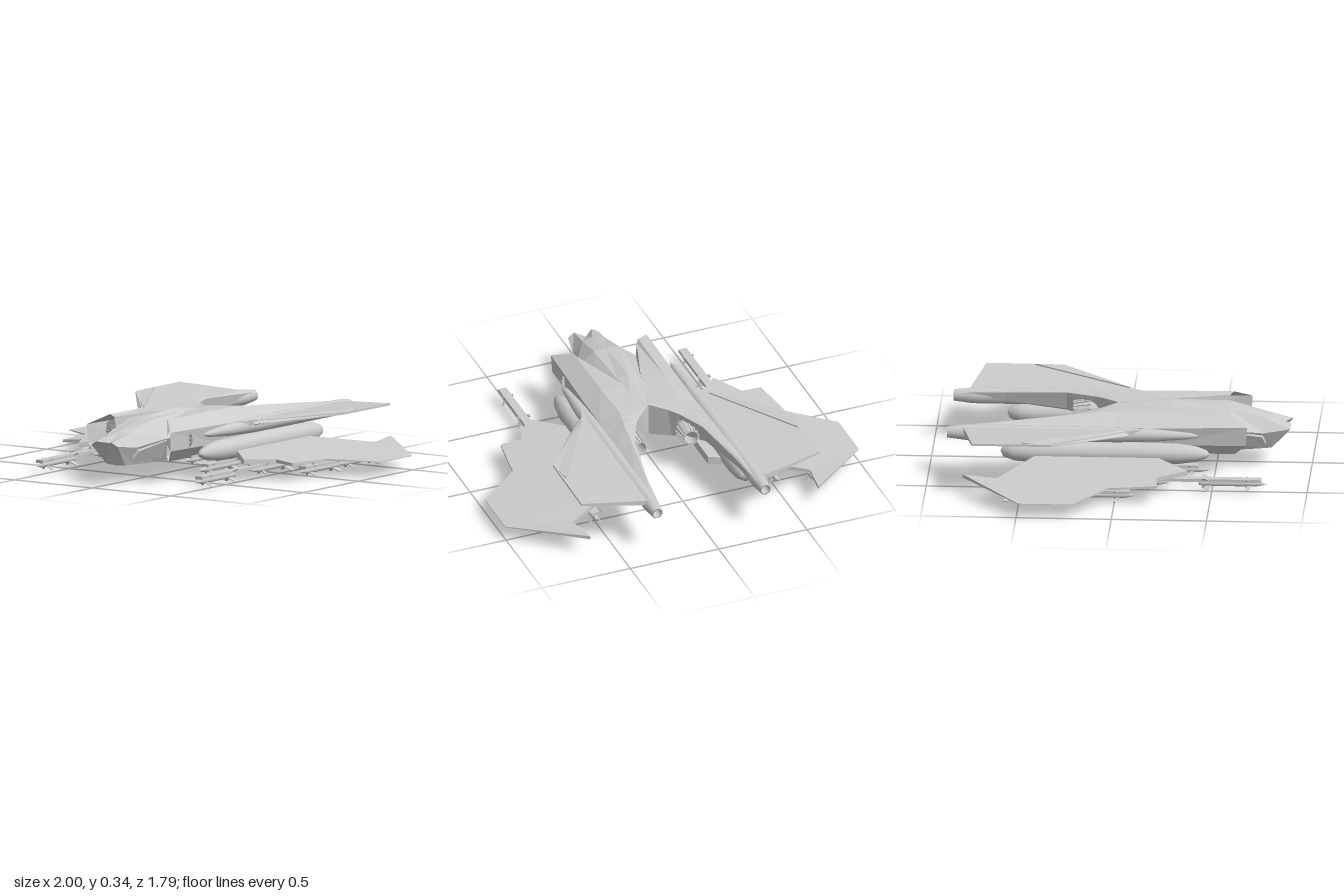
import * as THREE from 'three';

const flat = new THREE.MeshStandardMaterial({ color: 0xcccccc, flatShading: true, side: THREE.DoubleSide });
const smooth = new THREE.MeshStandardMaterial({ color: 0xcccccc, side: THREE.DoubleSide });

function add(parent, name, geo, mat = flat, x = 0, y = 0, z = 0) {
  const m = new THREE.Mesh(geo, mat);
  m.name = name;
  m.position.set(x, y, z);
  parent.add(m);
  return m;
}

// Skin over closed rings of [x, y, z], listed from front to back
function loft(rings, capFront, capBack) {
  const pos = [], n = rings[0].length, last = rings[rings.length - 1];
  const tri = (...p) => p.forEach((q) => pos.push(...q));
  for (let i = 0; i < rings.length - 1; i++) {
    for (let k = 0; k < n; k++) {
      const a = rings[i], b = rings[i + 1], l = (k + 1) % n;
      tri(a[k], a[l], b[l]);
      tri(a[k], b[l], b[k]);
    }
  }
  for (let k = 1; k < n - 1; k++) {
    if (capFront) tri(rings[0][0], rings[0][k + 1], rings[0][k]);
    if (capBack) tri(last[0], last[k], last[k + 1]);
  }
  const g = new THREE.BufferGeometry();
  g.setAttribute('position', new THREE.Float32BufferAttribute(pos, 3));
  g.computeVertexNormals();
  return g;
}

// Thin plate with an outline in x, z; the rule gives its mid height and thickness
function plate(outline, rule) {
  const shape = new THREE.Shape(outline.map(([x, z]) => new THREE.Vector2(x, z)));
  const g = new THREE.ExtrudeGeometry(shape, { depth: 1, bevelEnabled: false }).rotateX(Math.PI / 2);
  const p = g.attributes.position;
  for (let i = 0; i < p.count; i++) {
    const [mid, t] = rule(p.getX(i), p.getZ(i));
    p.setY(i, mid + (p.getY(i) > -0.5 ? t / 2 : -t / 2));
  }
  g.computeVertexNormals();
  return g;
}

// Round body along z from [radius, z] pairs
function turned(profile, sides = 20) {
  const pts = profile.map(([r, z]) => new THREE.Vector2(r, z)).reverse();
  if (pts[0].y > pts[pts.length - 1].y) pts.reverse();
  return new THREE.LatheGeometry(pts, sides).rotateX(Math.PI / 2);
}

// Missile with nose at local z = 0 and two sets of crossed fins
function missile(x, y, z) {
  const g = new THREE.Group();
  g.name = 'missile';
  g.position.set(x, y, z);
  add(g, 'missileBody', turned([[0, 0], [0.008, -0.025], [0.015, -0.06], [0.015, -0.34], [0.009, -0.36], [0, -0.36]], 10), smooth);
  for (const [fz, span, chord] of [[-0.09, 0.042, 0.025], [-0.3, 0.048, 0.045]]) {
    const fin = new THREE.Shape([[0.01, chord / 2], [span, -chord / 2], [span, -chord], [0.01, -chord / 2]].map((p) => new THREE.Vector2(...p)));
    for (let i = 0; i < 4; i++) {
      const geo = new THREE.ExtrudeGeometry(fin, { depth: 0.003, bevelEnabled: false })
        .translate(0, 0, -0.0015).rotateX(Math.PI / 2).rotateZ(Math.PI / 4 + i * Math.PI / 2);
      add(g, 'missileFin', geo, flat, 0, 0, fz);
    }
  }
  return g;
}

function buildSide() {
  const side = new THREE.Group();

  // Engine shell: raked open intake in front, tapering arm behind
  const ring = (z, ...pts) => pts.map(([x, y]) => [x, y, z]);
  const lip = [[0.17, 0.325], [0.185, 0.34], [0.27, 0.29], [0.265, 0.19], [0.21, 0.125], [0.15, 0.14]]
    .map(([x, y]) => [x, y, 0.55 + (x - 0.16) * 1.1]);
  add(side, 'engineShell', loft([
    lip,
    ring(0.2, [0.05, 0.335], [0.18, 0.34], [0.275, 0.28], [0.26, 0.18], [0.2, 0.12], [0.08, 0.11]),
    ring(-0.02, [0, 0.33], [0.17, 0.335], [0.275, 0.28], [0.25, 0.18], [0.18, 0.13], [0, 0.15]),
    ring(-0.1, [0.08, 0.325], [0.18, 0.332], [0.28, 0.28], [0.26, 0.19], [0.19, 0.15], [0.1, 0.16]),
    ring(-0.15, [0.12, 0.32], [0.19, 0.33], [0.28, 0.28], [0.27, 0.2], [0.21, 0.17], [0.14, 0.18]),
    ring(-0.3, [0.19, 0.315], [0.21, 0.32], [0.29, 0.28], [0.29, 0.21], [0.25, 0.2], [0.21, 0.22]),
    ring(-0.62, [0.25, 0.29], [0.26, 0.298], [0.31, 0.28], [0.31, 0.24], [0.285, 0.23], [0.26, 0.24]),
    ring(-0.84, [0.275, 0.275], [0.28, 0.28], [0.31, 0.275], [0.31, 0.25], [0.3, 0.24], [0.28, 0.25]),
  ], false, true));

  // Intake fan
  const fan = new THREE.Group();
  fan.name = 'intakeFan';
  fan.position.set(0.212, 0.232, 0.5);
  side.add(fan);
  add(fan, 'fanHub', turned([[0, 0.04], [0.02, 0], [0, 0]], 12), smooth);
  for (let i = 0; i < 18; i++) {
    const blade = new THREE.BoxGeometry(0.055, 0.012, 0.002).rotateX(0.6).translate(0.04, 0, 0).rotateZ(i * Math.PI / 9);
    add(fan, 'fanBlade', blade);
  }
  add(fan, 'fanBack', new THREE.CircleGeometry(0.07, 20), flat, 0, 0, -0.01);

  // Exhaust nozzle with petals
  const nozzle = new THREE.Group();
  nozzle.name = 'exhaustNozzle';
  nozzle.position.set(0.165, 0.235, -0.1);
  nozzle.rotation.y = 0.12;
  side.add(nozzle);
  add(nozzle, 'nozzleShell', turned([[0.05, 0.04], [0.058, -0.08], [0.042, -0.165], [0.035, -0.165], [0.04, -0.06], [0, -0.05]], 16));
  for (let i = 0; i < 16; i++) {
    add(nozzle, 'nozzlePetal', new THREE.BoxGeometry(0.006, 0.01, 0.09).rotateX(-0.18).translate(0, 0.052, -0.12).rotateZ(i * Math.PI / 8));
  }

  // Boom and underslung tank
  add(side, 'boom', turned([[0, 0.43], [0.016, 0.38], [0.032, 0.2], [0.04, 0], [0.042, -0.3], [0.042, -0.8], [0.03, -0.9], [0.023, -0.9], [0.02, -0.86], [0, -0.86]], 14), smooth, 0.306, 0.252);
  add(side, 'tank', turned([[0, 0.48], [0.022, 0.46], [0.04, 0.41], [0.053, 0.32], [0.057, 0.2], [0.057, -0.47], [0.05, -0.55], [0.03, -0.605], [0, -0.62]], 24), smooth, 0.318, 0.157);

  // Upper fin, thicker at the boom, and its folded tip
  add(side, 'upperFin', plate(
    [[0.29, 0.2], [0.345, 0.06], [0.67, -0.34], [0.672, -0.5], [0.675, -0.75], [0.36, -0.81], [0.29, -0.82]],
    (x) => [0.268 + (x - 0.29) * 0.095, 0.032 - (x - 0.29) * 0.055]));
  add(side, 'finFold', loft([
    [[0.36, 0.26, 0.02], [0.36, 0.295, 0.02], [0.37, 0.27, 0.06]],
    [[0.655, 0.295, -0.49], [0.655, 0.316, -0.49], [0.67, 0.304, -0.34]],
  ], true, true));

  // Lower wing with notched edges
  add(side, 'lowerWing', plate(
    [[0.2, 0.12], [0.37, 0.21], [0.53, 0.375], [0.625, 0.215], [0.735, 0.225], [0.765, 0.03], [0.77, -0.03], [1, -0.21], [1, -0.49], [0.645, -0.8], [0.67, -0.62], [0.36, -0.43], [0.2, -0.36]],
    (x, z) => [0.137 - Math.max(0, x - 0.3) * 0.066 + (z < -0.7 ? 0.008 : 0), 0.045 * Math.max(0.08, 1 - (x - 0.2) / 0.75)]));

  // Missiles, each row under a rail: x, y, rail front, rail back, nose positions
  const rows = [
    [0.19, 0.105, 0.4, 0.1, [0.43]],
    [0.312, 0.07, 0.42, -0.22, [0.48, 0.11]],
    [0.51, 0.062, 0.76, -0.54, [0.79, 0.28, -0.2]],
    [0.7, 0.05, 0.08, -0.54, [0.11, -0.24]],
  ];
  for (const [x, y, front, back, noses] of rows) {
    add(side, 'missileRail', new THREE.BoxGeometry(0.045, 0.016, front - back), flat, x, y + 0.02, (front + back) / 2);
    for (const z of noses) {
      side.add(missile(x, y, z));
      add(side, 'pylon', new THREE.BoxGeometry(0.01, 0.04, 0.12), flat, x, y + 0.035, Math.min(z - 0.18, 0.24));
    }
  }
  return side;
}

export function createModel() {
  const model = new THREE.Group();
  model.name = 'spacecraft';

  // Centre fuselage: half sections of ridge, shoulder, waist, chin and keel, mirrored
  const sections = [
    [[0, 0.235, 0.85], [0.05, 0.245, 0.895], [0.085, 0.225, 0.89], [0.06, 0.115, 0.79], [0, 0.11, 0.79]],
    [[0, 0.285, 0.76], [0.06, 0.28, 0.75], [0.115, 0.21, 0.75], [0.075, 0.113, 0.72], [0, 0.107, 0.72]],
    [[0, 0.33, 0.57], [0.07, 0.328, 0.57], [0.175, 0.24, 0.57], [0.1, 0.11, 0.57], [0, 0.105, 0.57]],
    [[0, 0.353, 0.27], [0.06, 0.335, 0.27], [0.18, 0.25, 0.27], [0.11, 0.105, 0.27], [0, 0.1, 0.27]],
    [[0, 0.337, 0.1], [0.05, 0.334, 0.1], [0.15, 0.25, 0.1], [0.1, 0.115, 0.1], [0, 0.11, 0.1]],
    [[0, 0.325, -0.01], [0.02, 0.325, -0.02], [0.1, 0.25, -0.08], [0.06, 0.15, -0.05], [0, 0.15, -0.01]],
  ];
  const rings = sections.map((s) => [...s, ...s.slice(1, 4).reverse().map(([x, y, z]) => [-x, y, z])]);
  add(model, 'fuselage', loft(rings, true, true));

  // Cheek plates beside the nose
  for (const s of [1, -1]) {
    const cheek = [
      [[0.09, 0.2, 0.76], [0.12, 0.19, 0.74], [0.09, 0.14, 0.76]],
      [[0.14, 0.27, 0.55], [0.175, 0.23, 0.57], [0.13, 0.13, 0.55]],
    ].map((r) => r.map(([x, y, z]) => [s * x, y, z]));
    add(model, 'cheek', loft(s > 0 ? cheek : cheek.map((r) => r.reverse()), true, true));
  }

  const left = buildSide();
  left.name = 'leftSide';
  const right = buildSide();
  right.name = 'rightSide';
  right.scale.x = -1;
  model.add(left, right);
  return model;
}
